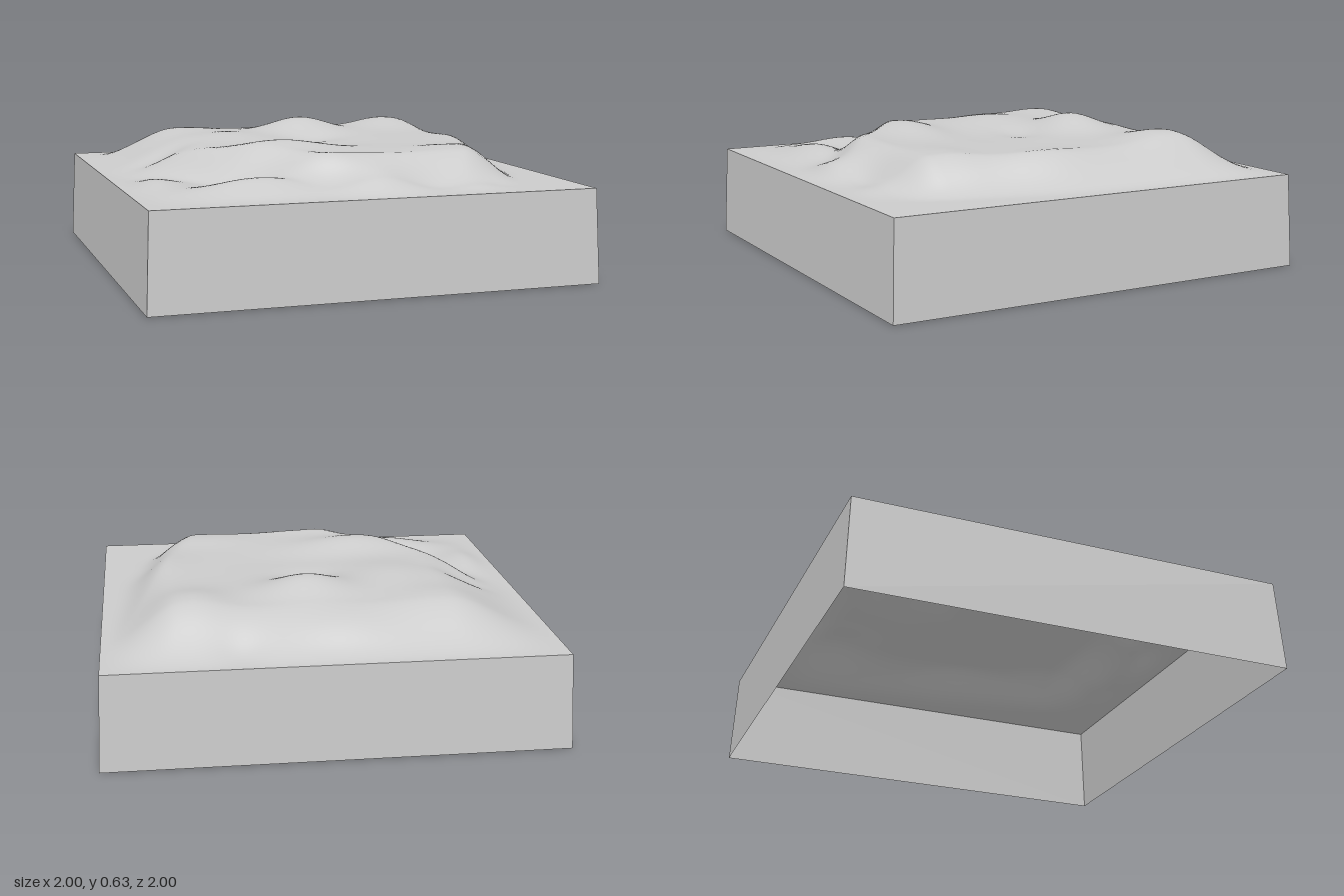
import * as THREE from 'three';

const RIM = 0.42;      // height of the top edge of the walls
const HALF = 0.983;    // half width at the rim; the walls flare to 1 at the foot

// Plateau edges: outward normal x, z, distance of the foot, width of the slope
const slopes = [
  [-1, 0, 0.98, 0.45],
  [1, 0, 0.98, 0.33],
  [0, -1, 0.98, 0.38],
  [0, 1, 0.84, 0.24],
  [0.95, 0.3, 0.95, 0.28],
  [-0.69, 0.72, 0.73, 0.22],
];

// Hills and hollows: centre x, z, height, radius x, radius z
const hills = [
  [0.07, -0.4, 0.073, 0.2, 0.16],
  [0.58, -0.55, 0.045, 0.17, 0.2],
  [-0.25, 0.33, 0.045, 0.25, 0.14],
  [-0.35, -0.2, 0.028, 0.2, 0.22],
  [-0.5, -0.55, 0.02, 0.2, 0.15],
  [-0.45, 0.7, 0.07, 0.3, 0.14],
  [-0.85, 0.42, 0.04, 0.16, 0.2],
  [0.05, 0.82, 0.065, 0.18, 0.13],
  [0.48, 0.83, 0.02, 0.12, 0.08],
  [0.5, 0.5, 0.015, 0.22, 0.12],
  [0.72, 0.1, 0.015, 0.15, 0.2],
  [0.05, -0.13, -0.02, 0.14, 0.1],
  [0.05, 0.1, -0.012, 0.25, 0.18],
  [-0.72, -0.08, -0.025, 0.14, 0.1],
  [-0.05, -0.77, 0.02, 0.2, 0.1],
  [0.4, -0.87, -0.02, 0.1, 0.12],
];

const smooth = THREE.MathUtils.smoothstep;

function heightAt(x, z) {
  let plateau = 0.14;
  for (const [nx, nz, foot, width] of slopes) {
    plateau *= smooth(foot - nx * x - nz * z, 0, width);
  }
  let bumps = 0;
  for (const [hx, hz, h, rx, rz] of hills) {
    bumps += h * Math.exp(-(((x - hx) / rx) ** 2) - ((z - hz) / rz) ** 2);
  }
  // fade to the level rim
  const inset = HALF - Math.max(Math.abs(x), Math.abs(z));
  return RIM + plateau + bumps * smooth(inset, -0.02, 0.16) * (inset > 1e-4 ? 1 : 0);
}

export function createModel() {
  const group = new THREE.Group();
  group.name = 'terrainTile';
  const options = { color: 0xcccccc, side: THREE.DoubleSide };

  // Rolling ground surface
  const ground = new THREE.PlaneGeometry(2 * HALF, 2 * HALF, 100, 100);
  ground.rotateX(-Math.PI / 2);
  const p = ground.attributes.position;
  for (let i = 0; i < p.count; i++) p.setY(i, heightAt(p.getX(i), p.getZ(i)));
  ground.computeVertexNormals();
  const terrain = new THREE.Mesh(ground, new THREE.MeshStandardMaterial(options));
  terrain.name = 'terrain';
  group.add(terrain);

  // Four slightly tapered walls, open underneath
  const skirt = new THREE.CylinderGeometry(HALF * Math.SQRT2, Math.SQRT2, RIM, 4, 1, true);
  skirt.rotateY(Math.PI / 4);
  skirt.translate(0, RIM / 2, 0);
  const walls = new THREE.Mesh(skirt, new THREE.MeshStandardMaterial({ ...options, flatShading: true }));
  walls.name = 'sideWalls';
  group.add(walls);

  return group;
}
